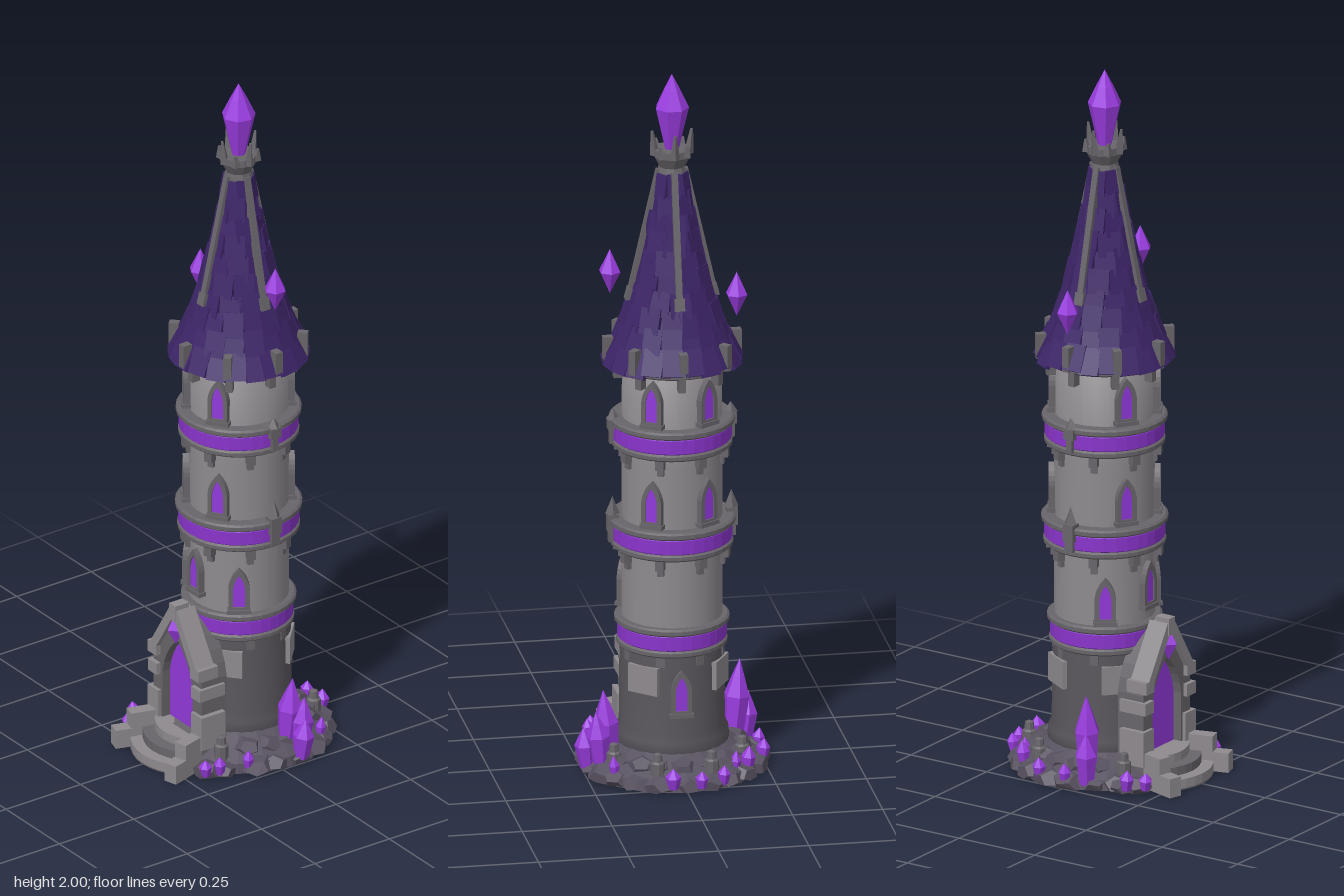
import * as THREE from 'three';
import { mergeGeometries } from 'three/addons/utils/BufferGeometryUtils.js';

const mat = (name, color) => {
  const m = new THREE.MeshStandardMaterial({ color });
  m.name = name;
  return m;
};

export function createModel() {
  const M = {
    stone: mat('light stone', 0x8e8a8e),
    trim: mat('trim stone', 0x68656a),
    dark: mat('dark stone', 0x5a575d),
    rock: mat('rock', 0x57515f),
    roof: mat('roof tile', 0x3d2568),
    crystal: mat('crystal', 0x9a3ce0),
    glow: mat('purple glass', 0x9139da),
    band: mat('purple band', 0x8934cb),
    under: mat('underside', 0x6c696e),
  };
  let seed = 11;
  const rnd = (a = 0, b = 1) => {
    seed = (seed * 16807) % 2147483647;
    return a + (b - a) * seed / 2147483647;
  };
  const flat = (g) => {
    const f = g.index ? g.toNonIndexed() : g;
    f.computeVertexNormals();
    return f;
  };
  const add = (parent, name, geo, material, x = 0, y = 0, z = 0) => {
    const m = new THREE.Mesh(geo, material);
    m.name = name;
    m.position.set(x, y, z);
    parent.add(m);
    return m;
  };
  const box = (w, h, d) => new THREE.BoxGeometry(w, h, d);
  const lathe = (pts, n) => new THREE.LatheGeometry(pts.map((p) => new THREE.Vector2(p[0], p[1])), n);
  const ring = (r, y0, y1, n = 32) => flat(lathe([[0.1, y0], [r - 0.006, y0], [r, y0 + 0.005], [r, y1 - 0.005], [r - 0.006, y1], [0.1, y1]], n));

  const model = new THREE.Group();
  model.name = 'tower';
  const tower = new THREE.Group();
  tower.name = 'towerBody';
  tower.position.z = -0.03;
  model.add(tower);
  // Pivot on the tower axis; children at +z face outwards at angle a (degrees from front)
  const spoke = (name, deg, y = 0) => {
    const g = new THREE.Group();
    g.name = name;
    g.rotation.y = deg * Math.PI / 180;
    g.position.y = y;
    tower.add(g);
    return g;
  };

  // Walls
  add(tower, 'lowerWall', lathe([[0, 0.03], [0.158, 0.03], [0.155, 0.11], [0.145, 0.13], [0.143, 0.36]], 32), M.dark);
  add(tower, 'upperWall', lathe([[0.143, 0.35], [0.138, 0.44], [0.138, 0.9], [0.136, 1.195], [0, 1.195]], 32), M.stone);
  for (const a of [40, 137, 239, 320]) {
    add(spoke('wallPatch', a), 'paleStoneBlock', box(0.095, 0.08, 0.02), M.stone, 0, 0.285, 0.138);
  }

  // Ring bands with corbels
  for (const [y, r] of [[0.355, 0.154], [0.64, 0.17], [0.93, 0.168]]) {
    add(tower, 'bandLowerRim', ring(r - 0.002, y, y + 0.02), M.trim);
    add(tower, 'purpleBand', ring(r - 0.004, y + 0.018, y + 0.066), M.band);
    add(tower, 'bandUpperRim', ring(r + 0.004, y + 0.064, y + 0.085), M.trim);
    for (let i = 0; i < 8; i++) {
      const g = spoke('corbel', i * 45 + 22.5, y);
      add(g, 'corbelBlock', box(0.024, 0.03, 0.034), M.trim, 0, -0.013, r - 0.026);
      add(g, 'corbelFoot', box(0.018, 0.026, 0.018), M.trim, 0, -0.035, r - 0.03);
    }
  }
  // Pinnacles on the upper bands, with a clasp over the purple
  for (const [y, r, s] of [[0.70, 0.165, 1], [0.985, 0.163, 0.6]]) {
    for (const a of [90, 270]) {
      const g = spoke('pinnacle', a, y);
      add(g, 'pinnacleBlock', box(0.034, 0.05 * s, 0.03), M.trim, 0, 0.01, r);
      add(g, 'pinnacleClasp', box(0.02 * s + 0.006, 0.06, 0.014), M.trim, 0, -0.015, r + 0.004);
      add(g, 'pinnacleTip', flat(new THREE.ConeGeometry(0.02, 0.05 * s, 4)), M.trim, 0, 0.01 + 0.05 * s, r);
    }
  }

  // Pointed windows
  const pointed = (C, w, y0, ys, y1) => {
    const s = new C();
    s.moveTo(-w, y0);
    s.lineTo(w, y0);
    s.lineTo(w, ys);
    s.quadraticCurveTo(w * 0.85, (ys + y1) / 2 + (y1 - ys) * 0.1, 0, y1);
    s.quadraticCurveTo(-w * 0.85, (ys + y1) / 2 + (y1 - ys) * 0.1, -w, ys);
    s.closePath();
    return s;
  };
  const extrude = (s, depth) => flat(new THREE.ExtrudeGeometry(s, { depth, bevelEnabled: false, curveSegments: 5 }));
  const frameShape = pointed(THREE.Shape, 0.029, -0.06, 0.01, 0.07);
  frameShape.holes.push(pointed(THREE.Path, 0.0165, -0.047, 0.008, 0.05));
  const frameGeo = extrude(frameShape, 0.024);
  const paneGeo = extrude(pointed(THREE.Shape, 0.018, -0.048, 0.008, 0.052), 0.006);
  const windows = [[0, 0.54], [55, 0.51], [-55, 0.51], [180, 0.25]];
  for (const a of [32, -32, 148, -148]) windows.push([a, 0.795], [a, 1.085]);
  for (const [a, y] of windows) {
    const g = spoke('window', a, y);
    add(g, 'windowFrame', frameGeo, M.trim, 0, 0, 0.129);
    add(g, 'windowPane', paneGeo, M.glow, 0, 0, 0.143);
    add(g, 'windowSill', box(0.066, 0.012, 0.034), M.trim, 0, -0.06, 0.14);
  }

  // Eaves ring with merlons
  add(tower, 'eavesRing', ring(0.163, 1.165, 1.2), M.trim);
  for (let i = 0; i < 8; i++) {
    const g = spoke('eavesPost', i * 45, 1.2);
    add(g, 'eavesBlock', box(0.022, 0.07, 0.028), M.trim, 0, 0.015, 0.178);
    add(g, 'eavesCorbel', box(0.02, 0.05, 0.025), M.trim, 0, -0.045, 0.15);
  }

  // Roof core and overlapping tiles
  const prof = [[0.18, 1.19], [0.149, 1.25], [0.122, 1.32], [0.098, 1.4], [0.073, 1.5], [0.05, 1.6], [0.027, 1.73]];
  add(tower, 'roofCore', lathe([[0, 1.19], ...prof, [0, 1.74]], 24), M.roof);
  const roofR = (y) => {
    let i = 0;
    while (i < prof.length - 2 && prof[i + 1][1] < y) i++;
    const [r0, y0] = prof[i], [r1, y1] = prof[i + 1];
    return r0 + (r1 - r0) * (y - y0) / (y1 - y0);
  };
  const tiles = [];
  const rows = 10, rowH = 0.052;
  for (let k = 0; k < rows; k++) {
    const y = 1.188 + k * rowH, r0 = roofR(y), r1 = roofR(y + rowH);
    const n = Math.max(7, Math.round(r0 * 115));
    for (let i = 0; i < n; i++) {
      const h = Math.hypot(rowH, r0 - r1) * 1.3;
      const t = box(2 * Math.PI * r0 / n * rnd(0.96, 1.06), h, rnd(0.009, 0.015));
      t.rotateX(-Math.atan2(r0 - r1, rowH) + 0.02);
      t.translate(0, y + rowH / 2 + rnd(-0.009, 0.006), (r0 + r1) / 2 + 0.004);
      t.rotateY((i + (k % 2) / 2 + rnd(-0.1, 0.1)) / n * Math.PI * 2);
      tiles.push(t);
    }
  }
  add(tower, 'roofTiles', mergeGeometries(tiles), M.roof);

  // Roof ribs
  for (let i = 0; i < 4; i++) {
    const g = spoke('roofRib', i * 90);
    const rib = add(g, 'ribBar', box(0.018, 0.38, 0.02), M.trim, 0, 1.54, 0.076);
    rib.rotation.x = -Math.atan2(0.084, 0.37);
    add(g, 'ribFoot', box(0.028, 0.035, 0.022), M.trim, 0, 1.37, 0.116).rotation.x = -0.25;
  }

  // Crown holding the summit crystal
  add(tower, 'crownCup', flat(lathe([[0, 1.69], [0.037, 1.69], [0.04, 1.72], [0.036, 1.735], [0.052, 1.765], [0.052, 1.785], [0, 1.785]], 10)), M.trim);
  for (let i = 0; i < 8; i++) {
    const g = spoke('crownProng', i * 45);
    const h = i % 2 ? 0.035 : 0.07;
    const prong = add(g, 'prong', flat(new THREE.CylinderGeometry(0.004, 0.014, h, 4)), M.trim, 0, 1.768 + h / 2, 0.051);
    prong.rotation.x = 0.12;
  }
  const gem = (r, h, n = 6, low = 0.3) => flat(lathe([[0, 0], [r * low, 0.001], [r, h * 0.58], [r * 0.5, h * 0.8], [0, h]], n));
  add(tower, 'summitCrystal', gem(0.047, 0.23, 7, 0.35), M.crystal, 0, 1.77, 0);
  const floater = flat(lathe([[0, -0.064], [0.031, 0], [0, 0.064]], 6));
  add(tower, 'floatingCrystalRight', floater, M.crystal, -0.18, 1.35, 0);
  add(tower, 'floatingCrystalLeft', floater, M.crystal, 0.172, 1.438, 0);

  // Rocky mound
  add(tower, 'mound', flat(lathe([[0.25, 0.002], [0.245, 0.03], [0.2, 0.055], [0.15, 0.085]], 20)), M.rock);
  const foot = add(tower, 'underside', new THREE.CircleGeometry(0.25, 28), M.under, 0, 0.001, 0);
  foot.rotation.x = Math.PI / 2;
  const rocks = [];
  const addRock = (x, y, z, k) => {
    const g = new THREE.DodecahedronGeometry(1);
    g.rotateX(rnd(0, 3)).rotateZ(rnd(0, 3));
    g.scale(k, k * 0.7, k).translate(x, y, z);
    const p = g.attributes.position;
    for (let v = 0; v < p.count; v++) p.setY(v, Math.max(0.002, p.getY(v)));
    rocks.push(flat(g));
  };
  for (const [n, r, s, y] of [[22, 0.222, 0.047, 0.012], [18, 0.18, 0.042, 0.048]]) {
    for (let i = 0; i < n; i++) {
      const a = (i + rnd(-0.2, 0.2)) / n * Math.PI * 2;
      if (Math.cos(a) < 0.8) addRock(Math.sin(a) * r, y, Math.cos(a) * r, s * rnd(0.85, 1.15));
    }
  }
  for (const sx of [-1, 1]) {
    addRock(sx * 0.155, 0.015, 0.215, 0.04);
    addRock(sx * 0.182, 0.015, 0.18, 0.035);
  }
  add(tower, 'rocks', mergeGeometries(rocks), M.rock);

  // Short bollards among the rocks
  for (const [x, z] of [[-0.075, -0.228], [0.075, -0.228], [-0.178, -0.125], [0.178, -0.125], [-0.15, 0.135], [0.15, 0.135]]) {
    add(model, 'bollard', flat(lathe([[0, 0], [0.02, 0], [0.02, 0.075], [0.014, 0.08], [0.012, 0.1], [0, 0.105]], 8)), M.trim, x, 0, z);
  }

  // Ground crystals: x, z, length, radius; they lean away from the tower
  for (const [x, z, h, r] of [
    [-0.18, 0.037, 0.25, 0.036], [-0.213, 0.055, 0.15, 0.032], [-0.243, 0.005, 0.06, 0.018], [-0.241, -0.08, 0.06, 0.019],
    [-0.183, -0.17, 0.075, 0.02], [-0.145, -0.188, 0.07, 0.016], [-0.102, -0.259, 0.055, 0.018], [-0.037, -0.282, 0.05, 0.018],
    [0.04, -0.275, 0.06, 0.022], [0.182, -0.17, 0.07, 0.015], [0.178, -0.065, 0.225, 0.036], [0.205, -0.085, 0.17, 0.033],
    [0.24, -0.068, 0.12, 0.03], [0.213, 0.09, 0.06, 0.016], [0.193, 0.17, 0.055, 0.017], [0.179, 0.208, 0.05, 0.018],
    [-0.197, 0.175, 0.06, 0.02], [-0.166, 0.216, 0.05, 0.019]]) {
    const c = add(model, 'groundCrystal', gem(r, h, 6, 0.7), M.crystal, x, 0.015, z);
    c.rotation.set((z + 0.03) * 0.5, rnd(0, 0.3), -x * 0.5);
  }

  // Curved entrance steps on a thin footing
  for (const [name, zf, y, h, w, material] of [
    ['stepFooting', 0.293, 0, 0.004, 0.12, M.under], ['lowerStep', 0.293, 0.004, 0.026, 0.12, M.stone],
    ['middleStep', 0.258, 0.03, 0.025, 0.112, M.trim], ['upperStep', 0.222, 0.055, 0.025, 0.105, M.stone]]) {
    const s = new THREE.Shape();
    s.moveTo(-w, -(zf - 0.045));
    s.quadraticCurveTo(0, -(zf + 0.045), w, -(zf - 0.045));
    s.lineTo(w, -0.05);
    s.lineTo(-w, -0.05);
    const g = new THREE.ExtrudeGeometry(s, { depth: h, bevelEnabled: false, curveSegments: 8 });
    g.rotateX(-Math.PI / 2);
    add(model, name, flat(g), material, 0, y, 0);
  }
  for (const sx of [-1, 1]) {
    // Stair cheek walls
    const cheek = new THREE.Group();
    cheek.name = 'stairCheek';
    cheek.position.set(sx * 0.118, 0, 0.242);
    cheek.rotation.y = sx * 0.28;
    model.add(cheek);
    add(cheek, 'cheekFront', box(0.04, 0.055, 0.05), M.stone, 0, 0.0275, 0.03);
    add(cheek, 'cheekBack', box(0.038, 0.1, 0.07), M.stone, 0, 0.05, -0.025);
    // Door jamb blocks and gable mouldings
    add(model, 'jambFoot', box(0.05, 0.1, 0.08), M.stone, sx * 0.102, 0.11, 0.145);
    add(model, 'jambBlock', box(0.042, 0.035, 0.085), M.stone, sx * 0.101, 0.225, 0.145);
    const gable = add(model, 'gableMoulding', box(0.026, 0.19, 0.06), M.stone, sx * 0.056, 0.36, 0.16);
    gable.rotation.z = sx * 0.56;
    add(model, 'gableEnd', box(0.04, 0.035, 0.065), M.stone, sx * 0.1, 0.285, 0.157);
  }

  // Pointed doorway
  const arch = pointed(THREE.Shape, 0.112, 0.06, 0.26, 0.43);
  arch.holes.push(pointed(THREE.Path, 0.07, 0.08, 0.22, 0.345));
  add(model, 'doorArch', extrude(arch, 0.085), M.trim, 0, 0, 0.09);
  add(model, 'door', extrude(pointed(THREE.Shape, 0.072, 0.078, 0.22, 0.347), 0.008), M.glow, 0, 0, 0.142);
  add(model, 'keystone', box(0.03, 0.05, 0.045), M.stone, 0, 0.435, 0.17);
  add(model, 'keystoneGem', flat(lathe([[0, -0.05], [0.028, 0], [0, 0.05]], 4)), M.crystal, 0, 0.385, 0.18);
  return model;
}
